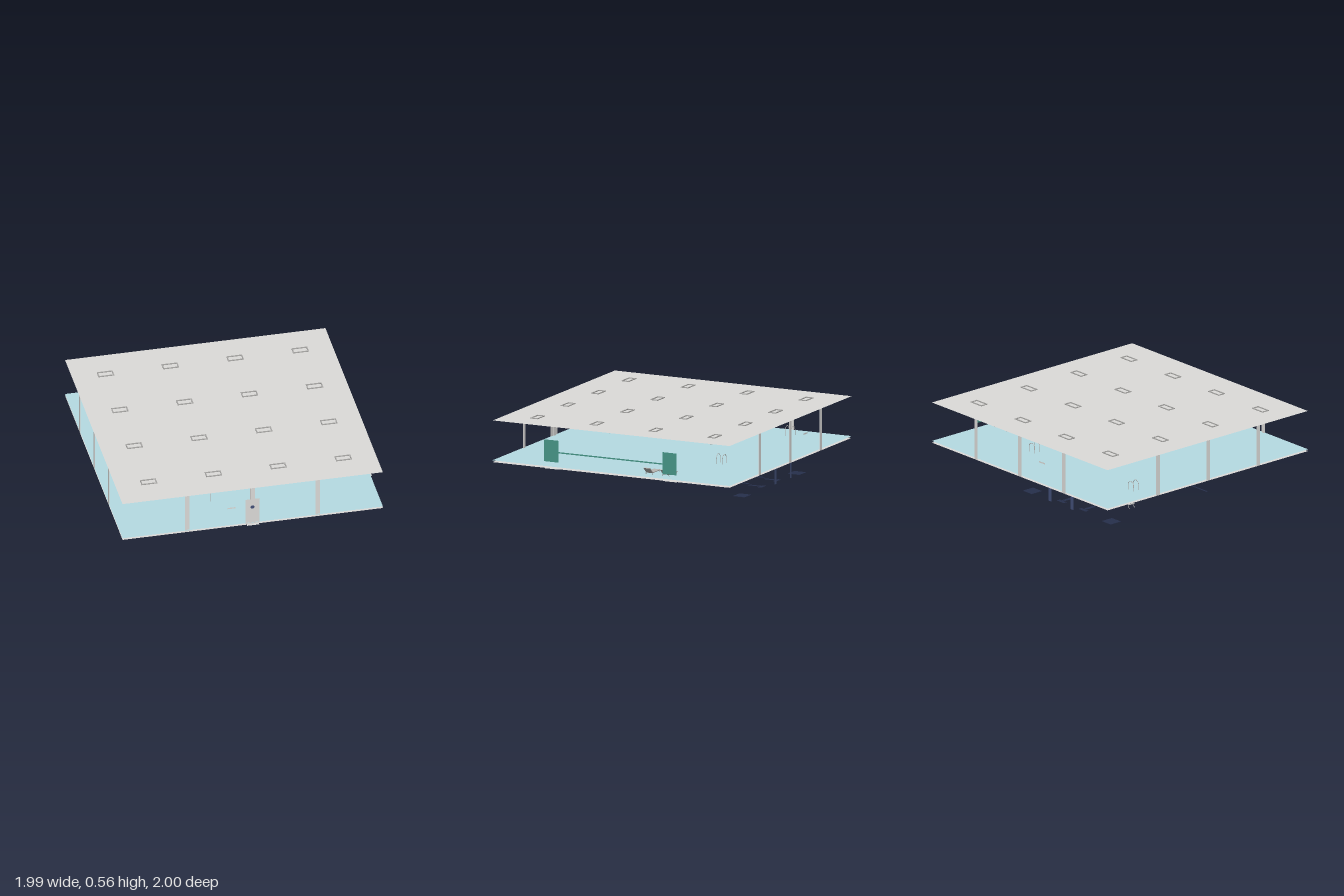
import * as THREE from 'three';

const mat = (name, color, side = THREE.FrontSide) => {
  const m = new THREE.MeshStandardMaterial({ color, side });
  m.name = name;
  return m;
};

export function createModel() {
  const root = new THREE.Group();
  root.name = 'poolHall';
  const D = THREE.DoubleSide;
  const concrete = mat('concreteGrey', 0xdcdbd9, D);
  const water = mat('waterBlue', 0xb5dbe2, D);
  const navy = mat('navyTile', 0x424f78, D);
  const deepNavy = mat('deepNavyTile', 0x262f4b, D);
  const teal = mat('tealBoard', 0x459486, D);
  const steel = mat('steel', 0xb4b4b2);
  const frameGrey = mat('lampFrameGrey', 0xa8a7a5);
  const plastic = mat('loungerGrey', 0xb8b6b2);
  const buoyGrey = mat('buoyGrey', 0xdededc);

  const add = (name, geo, m, x = 0, y = 0, z = 0, parent = root) => {
    const mesh = new THREE.Mesh(geo, m);
    mesh.name = name;
    mesh.position.set(x, y, z);
    parent.add(mesh);
    return mesh;
  };
  const box = (name, m, x0, x1, y0, y1, z0, z1, parent = root) =>
    add(name, new THREE.BoxGeometry(x1 - x0, y1 - y0, z1 - z0), m,
      (x0 + x1) / 2, (y0 + y1) / 2, (z0 + z1) / 2, parent);
  // Flat sheets: lying down, facing the front, facing the left wall
  const sheet = (name, m, x0, x1, y, z0, z1) =>
    add(name, new THREE.PlaneGeometry(x1 - x0, z1 - z0).rotateX(-Math.PI / 2), m,
      (x0 + x1) / 2, y, (z0 + z1) / 2);
  const paneZ = (name, m, x0, x1, y0, y1, z) =>
    add(name, new THREE.PlaneGeometry(x1 - x0, y1 - y0), m, (x0 + x1) / 2, (y0 + y1) / 2, z);
  const paneX = (name, m, x, y0, y1, z0, z1) =>
    add(name, new THREE.PlaneGeometry(z1 - z0, y1 - y0).rotateY(Math.PI / 2), m,
      x, (y0 + y1) / 2, (z0 + z1) / 2);
  // Round bar through points
  const bar = (name, pts, r, m, parent = root) => {
    const path = new THREE.CurvePath();
    const v = pts.map((p) => new THREE.Vector3(...p));
    for (let i = 1; i < v.length; i++) path.add(new THREE.LineCurve3(v[i - 1], v[i]));
    return add(name, new THREE.TubeGeometry(path, (v.length - 1) * 4, r, 6), m, 0, 0, 0, parent);
  };

  const LO = -1, HI = 0.98, FLOOR = 0.24, CEIL = 0.557;
  const grid = [-0.75, -0.257, 0.235, 0.73];
  const pillarAt = [-0.505, -0.01, 0.485];

  // Ceiling and its 4 x 4 lamps
  sheet('ceiling', concrete, LO, HI, CEIL, LO, HI - 0.003);
  for (const x of grid) for (const z of grid) {
    const lamp = new THREE.Group();
    lamp.name = 'ceilingLamp';
    lamp.position.set(x + 0.003, CEIL + 0.002, z);
    root.add(lamp);
    for (const s of [-1, 1]) {
      box('lampLongRim', frameGrey, -0.06, 0.06, -0.004, 0.004, s * 0.027 - 0.004, s * 0.027 + 0.004, lamp);
      box('lampShortRim', frameGrey, s * 0.056 - 0.004, s * 0.056 + 0.004, -0.004, 0.004, -0.023, 0.023, lamp);
    }
  }

  // Deck with the pool opening, and the water sheet over it
  const outline = (pts) => pts.map(([x, z]) => new THREE.Vector2(x, -z));
  const deck = new THREE.Shape(outline([[LO, LO], [HI, LO], [HI, HI], [LO, HI]]));
  deck.holes.push(new THREE.Path(outline([[-0.84, -0.82], [-0.84, 0.65], [0.3, 0.65], [0.3, -0.82]])));
  add('deck', new THREE.ShapeGeometry(deck).rotateX(-Math.PI / 2), concrete, 0, FLOOR, 0);
  sheet('waterSurface', water, LO, HI, FLOOR + 0.014, LO, HI);

  // Sills outside the front and left walls
  sheet('frontSill', concrete, -0.056, 0.036, FLOOR, HI, 0.996);
  for (const z of [0.485, -0.505]) sheet('sideSill', concrete, HI, 0.993, FLOOR, z - 0.057, z + 0.057);

  // Pillars on the front, back and right walls
  for (const p of pillarAt) {
    box('frontPillar', concrete, p - 0.017, p + 0.017, FLOOR, CEIL, 0.968, 0.972);
    box('backPillar', concrete, p - 0.017, p + 0.017, FLOOR, CEIL, LO, LO + 0.004);
    box('rightPillar', concrete, LO, LO + 0.004, FLOOR, CEIL, p - 0.012, p + 0.022);
  }

  // Door with a round window, and wall signs
  paneZ('door', concrete, -0.066, 0.041, 0.245, 0.46, 0.9765);
  add('doorWindow', new THREE.CircleGeometry(0.015, 24), navy, -0.012, 0.39, 0.9785);
  paneZ('frontSign', concrete, -0.2, -0.142, 0.395, 0.406, 0.975);
  paneZ('backSign', concrete, -0.29, -0.225, 0.41, 0.421, -0.998);

  // Boards on the left wall with a rail between them
  for (const z of [0.489, -0.5]) paneX('wallBoard', teal, 0.979, 0.29, 0.456, z - 0.059, z + 0.059);
  paneX('boardRail', teal, 0.978, 0.36, 0.37, -0.441, 0.43);

  // Lane markings: end wall T, floor line in shallow treads, and its crossbar
  for (const x of [-0.382, -0.135]) {
    paneZ('wallMarkBar', navy, x - 0.04, x + 0.04, 0.156, 0.18, -0.81);
    paneZ('wallMarkStem', navy, x - 0.015, x + 0.015, 0.035, 0.156, -0.81);
    for (let i = 0; i < 12; i++) {
      const z = -0.68 + i * 0.092;
      sheet('laneLine', deepNavy, x - 0.015, x + 0.015, 0.008 + i * 0.01, z, z + 0.092);
    }
    sheet('laneCrossbar', deepNavy, x - 0.04, x + 0.04, 0.006, -0.71, -0.68);
  }
  sheet('depthLine', deepNavy, -0.84, 0.3, 0.08, 0.115, 0.13);
  sheet('stepEdge', deepNavy, -0.84, 0.3, 0.165, 0.52, 0.54);

  // Pool floor drains
  for (const x of [-0.7, 0.19]) box('drain', deepNavy, x - 0.05, x + 0.05, 0, 0.003, -0.75, -0.65);

  // Pool ladders, mirrored across the pool
  for (const [cx, s] of [[-0.815, 1], [0.3, -1]]) {
    const ladder = new THREE.Group();
    ladder.name = 'poolLadder';
    root.add(ladder);
    for (const z of [-0.557, -0.607]) {
      const pts = [[cx - s * 0.031, FLOOR, z]];
      for (let i = 0; i <= 8; i++) {
        const a = Math.PI * (1 - i / 8);
        pts.push([cx + s * 0.031 * Math.cos(a), 0.295 + 0.031 * Math.sin(a), z]);
      }
      pts.push([cx + s * 0.031, 0.125, z], [cx + s * 0.025, 0.112, z], [cx + s * 0.015, 0.105, z]);
      bar('ladderRail', pts, 0.0022, steel, ladder);
    }
    for (const y of [0.135, 0.17, 0.205])
      box('ladderStep', steel, cx + s * 0.024 - 0.007, cx + s * 0.024 + 0.007, y - 0.0015, y + 0.0015, -0.607, -0.557, ladder);
  }

  // Handrail at the entry steps
  bar('entryHandrail', [[-0.255, FLOOR, 0.64], [-0.255, 0.315, 0.64], [-0.255, 0.328, 0.632],
    [-0.255, 0.331, 0.6], [-0.255, 0.325, 0.585], [-0.255, 0.22, 0.47], [-0.255, 0.212, 0.455],
    [-0.255, 0.21, 0.425], [-0.255, 0.2, 0.414], [-0.255, 0.12, 0.413]], 0.0022, steel);

  // Floating ring
  add('lifeRing', new THREE.TorusGeometry(0.036, 0.01, 10, 28).rotateX(Math.PI / 2),
    buoyGrey, -0.306, 0.258, -0.206);

  // Loungers
  for (const z of [-0.285, -0.425]) {
    const lounger = new THREE.Group();
    lounger.name = 'lounger';
    lounger.position.z = z;
    root.add(lounger);
    box('loungerSeat', plastic, 0.765, 0.885, 0.266, 0.272, -0.028, 0.028, lounger);
    const back = add('loungerBack', new THREE.BoxGeometry(0.067, 0.005, 0.056), plastic, 0.909, 0.289, 0, lounger);
    back.rotation.z = 0.72;
    for (const s of [-0.026, 0.026]) {
      bar('loungerFrontLeg', [[0.77, 0.268, s], [0.77, 0.243, s]], 0.0025, steel, lounger);
      bar('loungerBackLeg', [[0.9, 0.268, s], [0.885, 0.243, s]], 0.0025, steel, lounger);
    }
  }
  return root;
}
